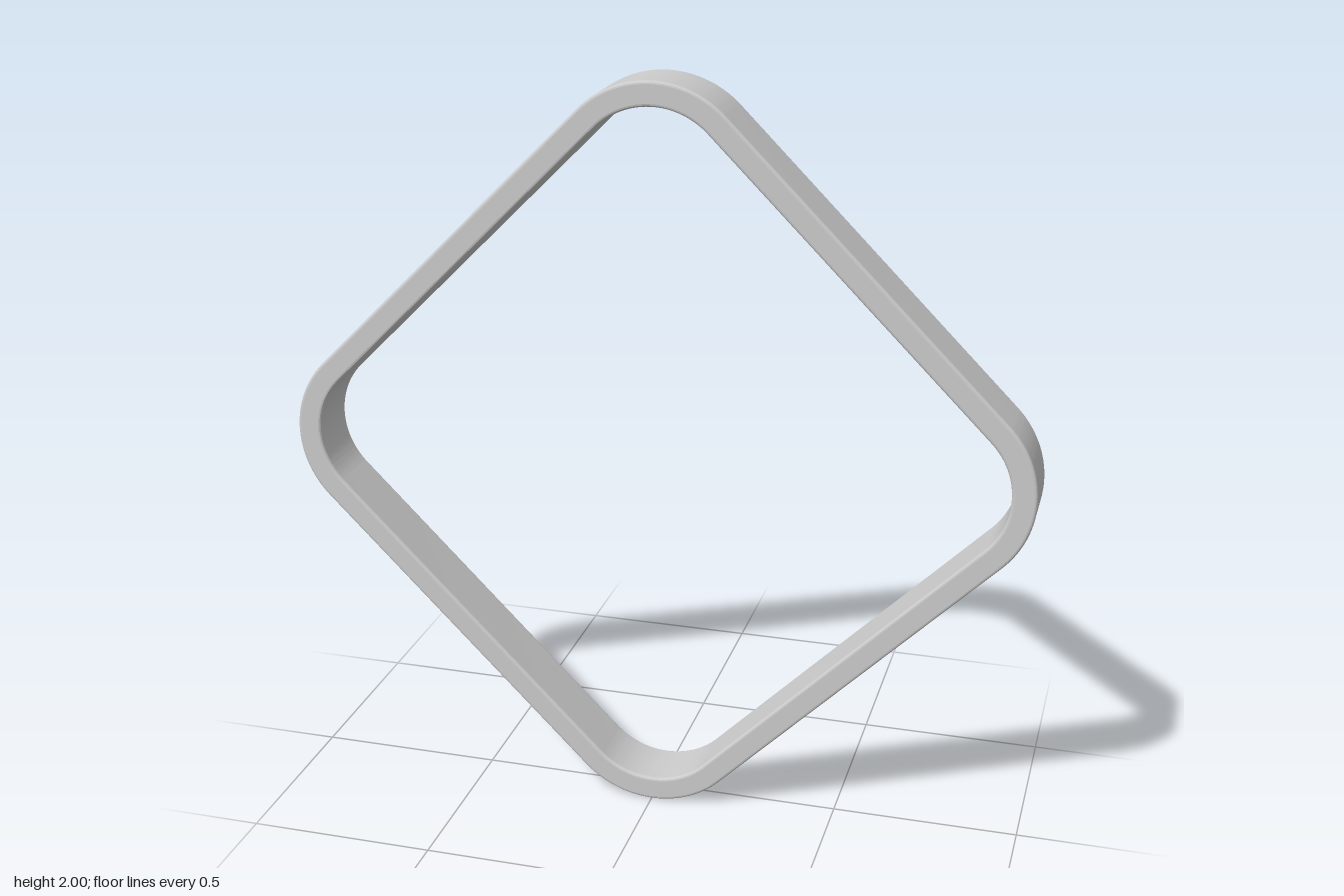
import * as THREE from 'three';
import { toCreasedNormals } from 'three/addons/utils/BufferGeometryUtils.js';

const CORNER = 0.73;   // distance from middle to each corner's arc centre
const OUTER_R = 0.27;
const INNER_R = 0.205;
const DEPTH = 0.166;
const BEVEL = 0.008;

// Diamond with rounded corners: four quarter arcs joined by straight sides
function traceDiamond(path, radius) {
  for (let i = 0; i < 4; i++) {
    const a = i * Math.PI / 2;
    path.absarc(CORNER * Math.cos(a), CORNER * Math.sin(a), radius, a - Math.PI / 4, a + Math.PI / 4, false);
  }
  path.closePath();
  return path;
}

export function createModel() {
  const model = new THREE.Group();
  model.name = 'diamondFrame';

  // Thin band with an open middle and softly bevelled edges
  const shape = traceDiamond(new THREE.Shape(), OUTER_R);
  shape.holes.push(traceDiamond(new THREE.Path(), INNER_R));
  const geometry = new THREE.ExtrudeGeometry(shape, {
    depth: DEPTH - 2 * BEVEL,
    curveSegments: 24,
    bevelEnabled: true,
    bevelThickness: BEVEL,
    bevelSize: BEVEL,
    bevelOffset: -BEVEL,
    bevelSegments: 3,
  });
  geometry.translate(0, 1, BEVEL - DEPTH / 2);

  const frame = new THREE.Mesh(
    toCreasedNormals(geometry, 0.25),
    new THREE.MeshStandardMaterial({ color: 0xcccccc })
  );
  frame.name = 'frame';
  model.add(frame);
  return model;
}
